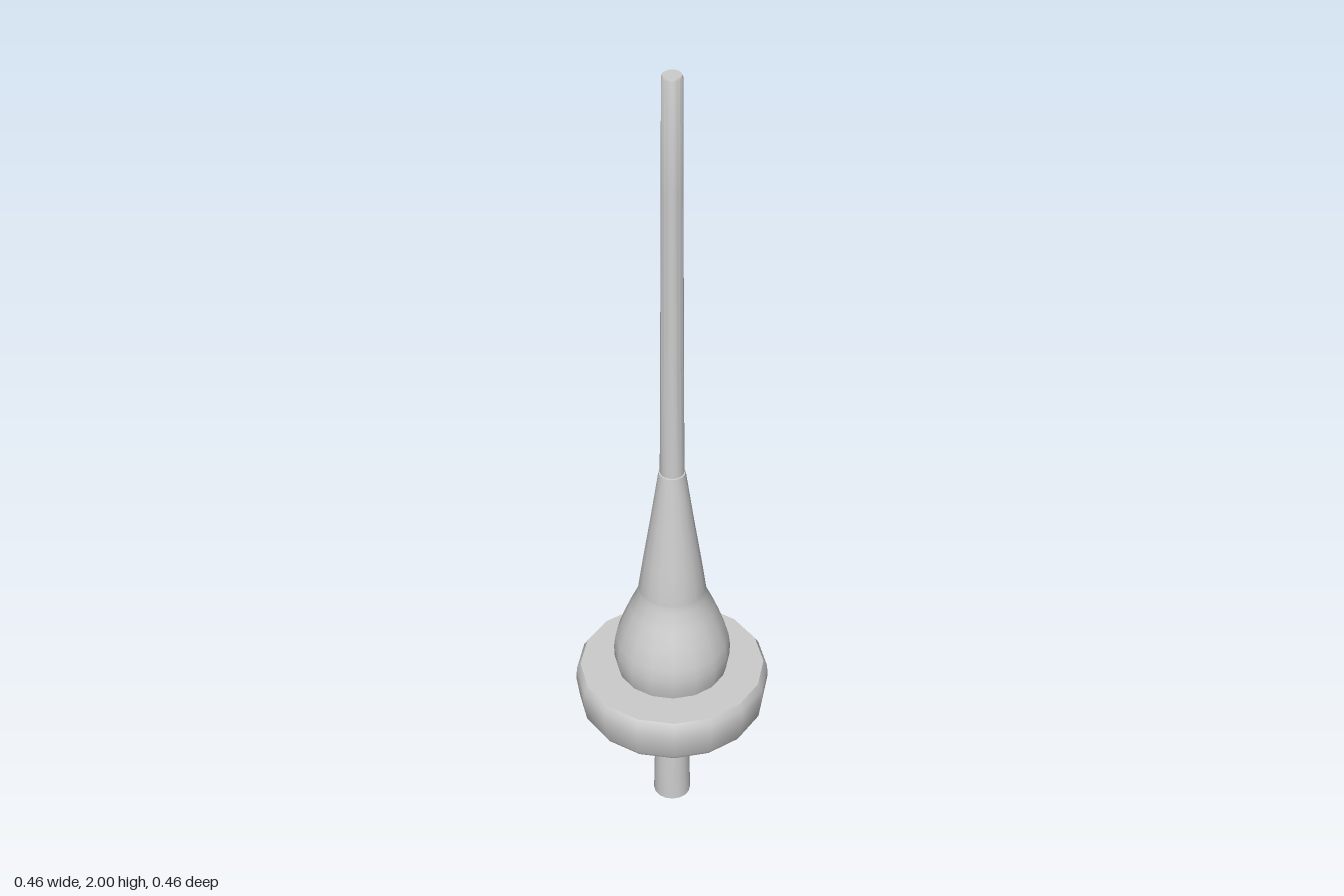
import * as THREE from 'three';
import { toCreasedNormals } from 'three/addons/utils/BufferGeometryUtils.js';

const SIDES = 16;

export function createModel() {
  const group = new THREE.Group();
  const grey = new THREE.MeshStandardMaterial({ color: 0xcccccc });
  grey.name = 'light grey';

  // Turned part from [radius, height] pairs, listed bottom to top
  function turned(name, profile) {
    const points = profile.map(([r, y]) => new THREE.Vector2(r, y));
    const geometry = toCreasedNormals(new THREE.LatheGeometry(points, SIDES), 0.7);
    const mesh = new THREE.Mesh(geometry, grey);
    mesh.name = name;
    group.add(mesh);
  }

  // Mounting stem below the flange
  turned('stem', [[0, 0], [0.044, 0], [0.043, 0.07], [0.039, 0.2], [0.034, 0.28], [0.034, 0.3], [0, 0.3]]);

  // Wide disc with softened rim
  turned('flange', [
    [0, 0.292], [0.212, 0.292], [0.22, 0.305], [0.228, 0.36],
    [0.226, 0.39], [0.217, 0.405], [0, 0.405],
  ]);

  // Bell-shaped base
  turned('bell', [
    [0, 0.4], [0.128, 0.4], [0.136, 0.43], [0.137, 0.46], [0.133, 0.492],
    [0.118, 0.535], [0.1, 0.58], [0.082, 0.62], [0.079, 0.64], [0, 0.64],
  ]);

  // Tapered sleeve gripping the rod
  turned('sleeve', [
    [0, 0.61], [0.08, 0.61], [0.079, 0.64], [0.068, 0.72],
    [0.05, 0.84], [0.036, 0.94], [0.031, 0.975], [0, 0.982],
  ]);

  // Stepped rod
  turned('rod', [
    [0, 0.96], [0.028, 0.96], [0.026, 1.33], [0.024, 1.72],
    [0.023, 1.995], [0.021, 2], [0, 2],
  ]);

  return group;
}
